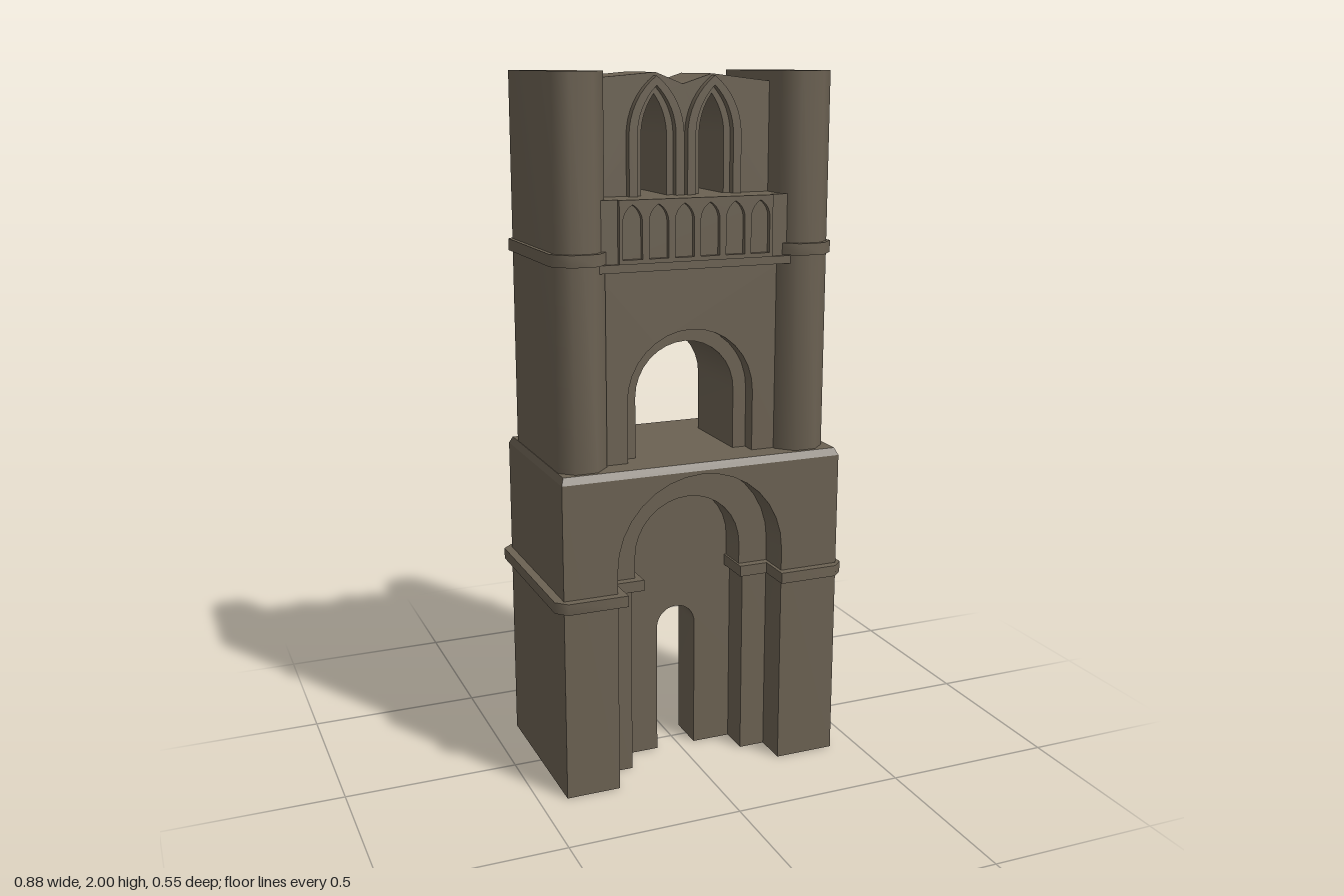
import * as THREE from 'three';
import { toCreasedNormals } from 'three/addons/utils/BufferGeometryUtils.js';

const CX = -0.01; // axis of all the arches

export function createModel() {
  const group = new THREE.Group();
  const stone = new THREE.MeshStandardMaterial({ color: 0x6b6152 });
  stone.name = 'weatheredStone';

  function add(name, geometry) {
    const mesh = new THREE.Mesh(toCreasedNormals(geometry, 0.9), stone);
    mesh.name = name;
    group.add(mesh);
    return mesh;
  }

  const toShape = pts => new THREE.Shape(pts.map(p => new THREE.Vector2(p[0], p[1])));

  // Opening outline: left jamb, round or pointed head, right jamb
  function arch(cx, hw, y0, spring, rise, footHw = hw, footY = y0) {
    const R = (hw * hw + rise * rise) / (2 * hw);
    const sweep = Math.asin(Math.min(1, rise / R));
    const left = [[-footHw, y0]];
    if (footHw !== hw) left.push([-footHw, footY], [-hw, footY]);
    const n = 8;
    for (let i = 0; i <= n; i++) {
      const a = sweep * i / n;
      left.push([-hw + R - R * Math.cos(a), spring + R * Math.sin(a)]);
    }
    const right = left.slice(0, -1).reverse().map(([x, y]) => [-x, y]);
    return left.concat(right).map(([x, y]) => [x + cx, y]);
  }

  // Slab between two depths
  function slab(name, pts, z0, z1, holes = []) {
    const shape = toShape(pts);
    shape.holes = holes.map(h => new THREE.Path(h.map(p => new THREE.Vector2(p[0], p[1]))));
    const g = new THREE.ExtrudeGeometry(shape, { depth: z1 - z0, bevelEnabled: false });
    return add(name, g.translate(0, 0, z0));
  }

  // The same slab on the front and the back
  function bothFaces(name, pts, z0, z1, holes) {
    slab(name + 'Front', pts, z0, z1, holes);
    slab(name + 'Back', pts, -z1, -z0, holes);
  }

  // Wall outline with openings that reach its foot
  const wall = (x0, x1, y0, top, ...openings) =>
    [[x0, y0], ...openings.flat(), [x1, y0], ...top];

  const flatTop = (x0, x1, y) => [[x1, y], [x0, y]];

  // Horizontal plan mirrored front to back, raised between two heights, on both sides
  function plan(name, half, y0, y1, mid) {
    const pts = half.concat(half.slice().reverse().map(([x, z]) => [x, -z]));
    for (const [side, s] of [['Right', 1], ['Left', -1]]) {
      const p = pts.map(([x, z]) => [s > 0 ? x : 2 * mid - x, z]);
      const g = new THREE.ExtrudeGeometry(toShape(p), { depth: y1 - y0, bevelEnabled: false });
      add(name + side, g.rotateX(-Math.PI / 2).translate(0, y0, 0));
    }
  }

  function box(name, x0, x1, y0, y1, z) {
    const g = new THREE.BoxGeometry(x1 - x0, y1 - y0, 2 * z);
    return add(name, g.translate((x0 + x1) / 2, (y0 + y1) / 2, 0));
  }

  // Gate storey: two stepped arches around a narrow doorway
  const X = 0.42, TOP = 0.92;
  const gate = opening => wall(-X, X, 0, flatTop(-X, X, TOP), opening);
  bothFaces('outerGateArch', gate(arch(CX, 0.252, 0, 0.658, 0.252)), 0.15, 0.25);
  bothFaces('innerGateArch', gate(arch(CX, 0.163, 0, 0.655, 0.163, 0.175, 0.575)), 0.06, 0.15);
  slab('doorWall', gate(arch(CX, 0.06, 0, 0.392, 0.06)), -0.06, 0.06);

  // Sloped edge on top of the gate storey
  const cap = new THREE.BoxGeometry(2 * X, 0.02, 0.5);
  const cp = cap.attributes.position;
  for (let i = 0; i < cp.count; i++) {
    if (cp.getY(i) > 0) {
      cp.setX(i, cp.getX(i) * 0.98);
      cp.setZ(i, cp.getZ(i) * 0.95);
    }
  }
  cap.translate(0, 0.93, 0);
  add('gateRoof', cap.toNonIndexed());

  // Impost band wrapping the gate piers and stepping into the arches
  plan('impostBand', [
    [-0.445, 0.245], [-0.415, 0.275], [-0.24, 0.275], [-0.24, 0.175], [-0.155, 0.175],
  ], 0.56, 0.592, -0.004);

  // Corner piers of the upper storeys, with bevelled corners
  const pier = (o = 0) => [
    [-0.41 - o, 0.19], [-0.372 - o * 0.5, 0.226 + o], [-0.308 + o * 0.5, 0.226 + o],
    [-0.265 + o, 0.18], [-0.265 + o, 0.05],
  ];
  plan('cornerPier', pier(), 0.935, 2, -0.008);
  plan('pierBand', pier(0.012), 1.502, 1.535, -0.008);

  // Middle storey: passage with a rebated arch
  const hall = (hw, rise) => wall(-0.3, 0.285, 0.935, flatTop(-0.3, 0.285, 1.49),
    arch(CX, hw, 0.935, 1.115, rise));
  slab('passageWall', hall(0.15, 0.15), -0.125, 0.125);
  bothFaces('passageArch', hall(0.19, 0.19), 0.125, 0.17);

  // Gallery with a row of blind pointed arches
  box('galleryLedge', -0.295, 0.275, 1.478, 1.5, 0.207);
  box('galleryBlock', -0.285, 0.265, 1.49, 1.67, 0.198);
  const niches = [];
  for (let i = 0; i < 6; i++) niches.push(arch(CX + (i - 2.5) * 0.075, 0.028, 1.512, 1.61, 0.047));
  bothFaces('galleryArcade', [[-0.235, 1.5], [0.215, 1.5], [0.215, 1.67], [-0.235, 1.67]],
    0.198, 0.212, niches);

  // Top storey: wall with a broken top and twin pointed windows
  const windows = [-0.095, 0.075];
  const ragged = [[0.26, 1.97], [0.075, 1.992], [CX, 1.965], [-0.09, 1.996], [-0.28, 1.98]];
  slab('windowWall', wall(-0.28, 0.26, 1.665, ragged,
    ...windows.map(x => arch(x, 0.037, 1.665, 1.83, 0.11))), -0.107, 0.107);
  windows.forEach((x, i) => {
    const ring = arch(x, 0.08, 1.665, 1.83, 0.157)
      .concat(arch(x, 0.056, 1.665, 1.83, 0.132).reverse());
    bothFaces('windowFrame' + (i + 1), ring, 0.107, 0.13);
  });

  return group;
}
